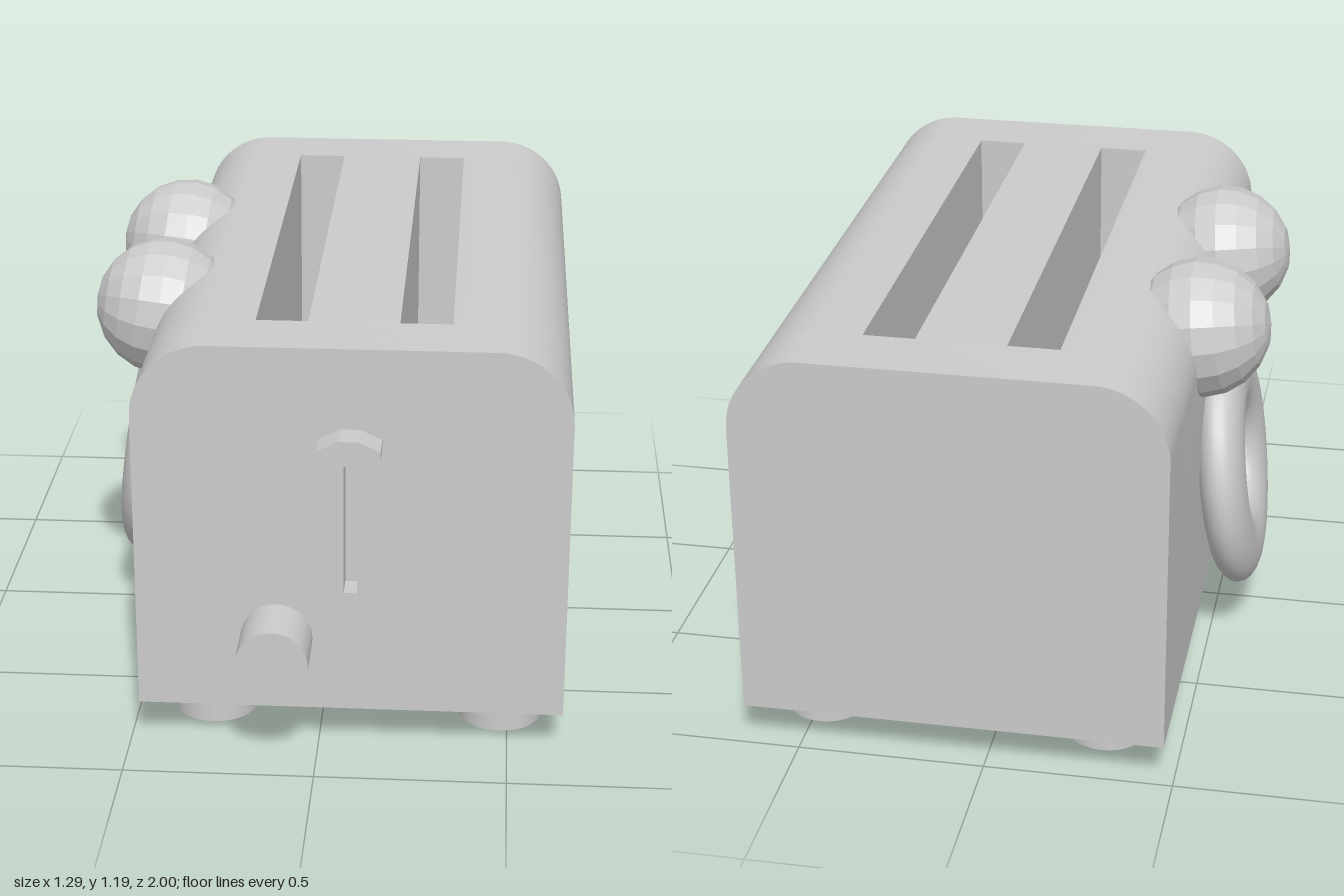
import * as THREE from 'three';
import { toCreasedNormals } from 'three/addons/utils/BufferGeometryUtils.js';

const L = -0.475, R = 0.645, B = 0.115, T = 1.13, RAD = 0.195;
const SLOTS = [[-0.17, -0.035], [0.2, 0.335]];
const SLOT_FLOOR = 0.4;

export function createModel() {
  const model = new THREE.Group();
  const grey = new THREE.MeshStandardMaterial({ color: 0xcccccc });
  const faceted = new THREE.MeshStandardMaterial({ color: 0xcccccc, flatShading: true });

  const add = (name, geometry, x = 0, y = 0, z = 0, parent = model, material = grey) => {
    const mesh = new THREE.Mesh(geometry, material);
    mesh.name = name;
    mesh.position.set(x, y, z);
    parent.add(mesh);
    return mesh;
  };

  // Cross-section with rounded upper corners, optionally notched by the bread slots
  const bodyShape = (slotted) => {
    const s = new THREE.Shape();
    s.moveTo(L, B);
    s.lineTo(R, B);
    s.lineTo(R, T - RAD);
    s.absarc(R - RAD, T - RAD, RAD, 0, Math.PI / 2, false);
    if (slotted) {
      for (const [a, b] of [...SLOTS].reverse()) {
        s.lineTo(b, T);
        s.lineTo(b, SLOT_FLOOR);
        s.lineTo(a, SLOT_FLOOR);
        s.lineTo(a, T);
      }
    }
    s.lineTo(L + RAD, T);
    s.absarc(L + RAD, T - RAD, RAD, Math.PI / 2, Math.PI, false);
    s.closePath();
    return s;
  };
  const extrude = (shape, z0, z1) => {
    const g = new THREE.ExtrudeGeometry(shape, { depth: z1 - z0, bevelEnabled: false, curveSegments: 8 });
    g.translate(0, 0, z0);
    return g;
  };

  // Body: solid ends, slotted middle, front panel with the lever groove
  const body = new THREE.Group();
  body.name = 'body';
  model.add(body);
  const frontShape = bodyShape(false);
  const groove = new THREE.Path();
  groove.moveTo(0.068, 0.455);
  groove.lineTo(0.068, 0.88);
  groove.lineTo(0.103, 0.88);
  groove.lineTo(0.103, 0.455);
  groove.closePath();
  frontShape.holes.push(groove);
  const section = (name, shape, z0, z1) =>
    add(name, toCreasedNormals(extrude(shape, z0, z1), 0.3), 0, 0, 0, body);
  section('backEnd', bodyShape(false), -1, -0.81);
  section('slottedMiddle', bodyShape(true), -0.81, 0.648);
  section('frontEnd', bodyShape(false), 0.648, 0.77);
  section('frontPanel', frontShape, 0.77, 0.84);

  // Lever handle
  const lever = new THREE.Shape([
    [0.005, 0.865], [0.035, 0.847], [0.135, 0.847], [0.165, 0.865],
    [0.165, 0.888], [0.11, 0.914], [0.06, 0.914], [0.005, 0.888],
  ].map(([x, y]) => new THREE.Vector2(x, y)));
  add('lever', extrude(lever, 0.82, 0.92));

  // Browning knob
  const knob = new THREE.CylinderGeometry(0.094, 0.094, 0.18, 32);
  knob.rotateX(Math.PI / 2);
  add('knob', knob, -0.107, 0.322, 0.91);

  // Feet
  for (const x of [-0.292, 0.48]) {
    for (const z of [0.623, -0.76]) {
      add('foot', new THREE.CylinderGeometry(0.11, 0.11, 0.125, 32), x, 0.0625, z);
    }
  }

  // Two faceted eyes on the side, poles facing outward
  for (const z of [-0.325, 0.213]) {
    const eye = add('eye', new THREE.SphereGeometry(0.187, 16, 10), -0.464, 1.002, z, model, faceted);
    eye.rotation.z = Math.PI / 2 - 0.13;
  }

  // Flattened ring mouth, leaning in at the top
  const mouth = add('mouth', new THREE.TorusGeometry(0.243, 0.11, 24, 48), -0.54, 0.497, -0.09);
  mouth.scale.set(0.94, 1, 0.58);
  mouth.rotation.set(0, Math.PI / 2, -0.127, 'ZYX');

  return model;
}
